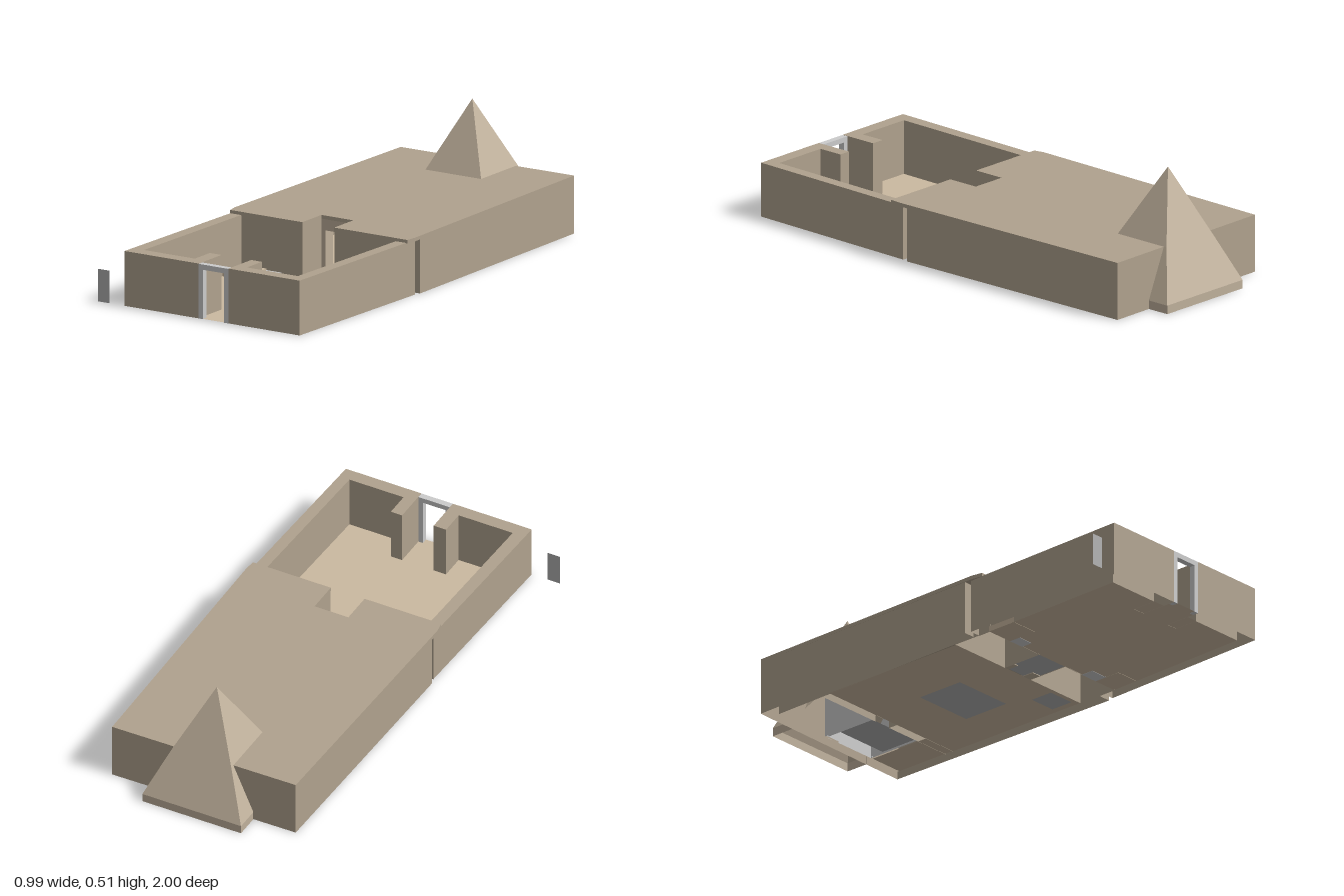
import * as THREE from 'three';

const WALL = 0xb0a28e, STONE = 0xbfb09b, FLOOR = 0xcbb9a0, GREY = 0xcccccc, DARK_GREY = 0xb0b0b0;

export function createModel() {
  const root = new THREE.Group();

  const add = (name, geometry, color) => {
    const material = new THREE.MeshStandardMaterial({ color, flatShading: true, side: THREE.DoubleSide });
    const mesh = new THREE.Mesh(geometry, material);
    mesh.name = name;
    root.add(mesh);
    return mesh;
  };

  // Upright solid over a plan of [x, z] corners; walls are left open underneath
  const raise = (name, plan, y0, y1, color, openBottom = true) => {
    const shape = new THREE.Shape(plan.map(([x, z]) => new THREE.Vector2(x, -z)));
    const full = new THREE.ExtrudeGeometry(shape, { depth: y1 - y0, bevelEnabled: false });
    const skip = openBottom ? (plan.length - 2) * 9 : 0;
    const g = new THREE.BufferGeometry();
    g.setAttribute('position', new THREE.BufferAttribute(full.attributes.position.array.slice(skip), 3));
    g.rotateX(-Math.PI / 2).translate(0, y0, 0).computeVertexNormals();
    return add(name, g, color);
  };
  const rect = (x0, x1, z0, z1) => [[x0, z0], [x1, z0], [x1, z1], [x0, z1]];
  const block = (name, x0, x1, y0, y1, z0, z1, color) =>
    raise(name, rect(x0, x1, z0, z1), y0, y1, color, false);
  const sheet = (name, plan, y, color) => {
    const shape = new THREE.Shape(plan.map(([x, z]) => new THREE.Vector2(x, -z)));
    return add(name, new THREE.ShapeGeometry(shape).rotateX(-Math.PI / 2).translate(0, y, 0), color);
  };

  // Doorway: two posts and a lintel
  const doorway = (name, [x0, x1], [in0, in1], head, top, z0, z1, color) => {
    block(name + 'LeftPost', in1, x1, 0, top, z0, z1, color);
    block(name + 'RightPost', x0, in0, 0, top, z0, z1, color);
    block(name + 'Lintel', in0, in1, head, top, z0, z1, color);
  };

  // Open court in front
  raise('courtRightWall', [[-0.37, 1], [-0.02, 1], [-0.02, 0.84], [-0.075, 0.84], [-0.075, 0.945],
    [-0.315, 0.945], [-0.297, 0.225], [-0.347, 0.225]], 0, 0.222, WALL);
  raise('courtLeftWall', [[0.455, 1], [0.12, 1], [0.12, 0.84], [0.17, 0.84], [0.17, 0.945],
    [0.41, 0.945], [0.432, 0.225], [0.48, 0.225]], 0, 0.222, WALL);
  sheet('courtFloor', [[-0.315, 0.945], [-0.02, 0.945], [-0.02, 1], [0.12, 1], [0.12, 0.945],
    [0.41, 0.945], [0.43, 0.28], [-0.3, 0.28]], 0.001, FLOOR);
  doorway('gateFrame', [-0.02, 0.12], [0, 0.1], 0.2, 0.221, 0.975, 1.001, GREY);

  // Low platforms and slabs against the hall front
  block('rightPlatform', -0.302, -0.18, 0, 0.022, 0.28, 0.41, FLOOR);
  block('rightOfferingSlab', -0.18, -0.11, 0, 0.016, 0.28, 0.33, GREY);
  block('leftPlatform', 0.32, 0.425, 0, 0.022, 0.28, 0.4, FLOOR);
  block('leftOfferingSlab', 0.24, 0.32, 0, 0.016, 0.28, 0.335, GREY);

  // Roofed hall
  raise('hallOuterWall', [[-0.335, -0.895], [0.475, -0.905], [0.487, 0.2], [0.437, 0.2],
    [0.425, -0.855], [-0.285, -0.845], [-0.305, 0.2], [-0.355, 0.2]], 0, 0.22, WALL);
  raise('hallRoof', [[-0.335, -0.895], [0.475, -0.905], [0.49, 0.24], [0.485, 0.285], [0.14, 0.285],
    [0.14, 0.15], [-0.01, 0.15], [-0.01, 0.285], [-0.35, 0.285], [-0.358, 0.24]], 0.22, 0.235, WALL, false);
  raise('hallFrontRight', rect(-0.3, -0.01, 0.1, 0.283), 0, 0.22, WALL);
  raise('hallFrontLeft', rect(0.14, 0.432, 0.1, 0.283), 0, 0.22, WALL);
  doorway('hallDoor', [-0.01, 0.14], [0.01, 0.097], 0.175, 0.22, 0.1, 0.15, STONE);
  sheet('threshold', rect(-0.01, 0.14, 0.1, 0.31), 0.003, DARK_GREY);
  sheet('hallFloor', rect(-0.295, 0.43, -0.57, 0.1), 0.001, FLOOR);

  // Sunken slabs in the hall floor
  sheet('smallFloorSlab', rect(0.28, 0.4, -0.02, 0.08), 0, DARK_GREY);
  sheet('largeFloorSlab', rect(-0.03, 0.24, -0.33, -0.12), 0, DARK_GREY);

  // Rear partition, side room and shrine
  raise('partitionRight', rect(-0.29, 0.02, -0.61, -0.57), 0, 0.22, WALL);
  raise('partitionLeft', rect(0.1, 0.43, -0.61, -0.57), 0, 0.22, WALL);
  block('partitionLintel', 0.02, 0.1, 0.165, 0.22, -0.61, -0.57, WALL);
  sheet('sideRoomFloor', rect(0.27, 0.425, -0.85, -0.57), 0.001, FLOOR);
  sheet('shrineFloor', rect(0, 0.25, -0.78, -0.61), 0.002, DARK_GREY);
  raise('shrineBack', rect(-0.01, 0.26, -0.85, -0.84), 0, 0.2, GREY);
  for (const x of [-0.01, 0.25]) raise('shrineSide', rect(x, x + 0.01, -0.84, -0.61), 0, 0.2, GREY);

  // Pyramid astride the back wall: rings of four corners rising to the tip,
  // left open where the lower part meets the inside of the hall
  const rings = [
    [-0.148, 0.29, 0, -1, -0.9],
    [-0.148, 0.29, 0.035, -1, -0.9],
    [-0.06, 0.202, 0.235, -0.916, -0.658],
    [0.066, 0.066, 0.51, -0.8, -0.8],
  ].map(([x0, x1, y, zb, zf]) => [[x0, y, zf], [x0, y, zb], [x1, y, zb], [x1, y, zf]]);
  const points = [];
  for (let r = 0; r < 3; r++) {
    for (let i = 0; i < (r === 2 ? 4 : 3); i++) {
      const j = (i + 1) % 4;
      const a = rings[r][i], b = rings[r][j], c = rings[r + 1][j], d = rings[r + 1][i];
      points.push(...a, ...c, ...b);
      if (r < 2) points.push(...a, ...d, ...c);
    }
  }
  // Keep every face turned outward
  for (let i = 0; i < points.length; i += 9) {
    const [a, b, c] = [0, 3, 6].map(k => new THREE.Vector3().fromArray(points, i + k));
    const n = b.clone().sub(a).cross(c.clone().sub(a));
    if (n.dot(a.clone().add(b).add(c).divideScalar(3).sub(new THREE.Vector3(0.066, 0.1, -0.85))) < 0) {
      b.toArray(points, i + 6);
      c.toArray(points, i + 3);
    }
  }
  const pyramid = new THREE.BufferGeometry();
  pyramid.setAttribute('position', new THREE.Float32BufferAttribute(points, 3));
  pyramid.computeVertexNormals();
  add('pyramid', pyramid, STONE);

  // Thin free-standing panel beside the court
  add('standingPanel', new THREE.PlaneGeometry(0.055, 0.132).translate(-0.4675, 0.066, 1), DARK_GREY);

  return root;
}
